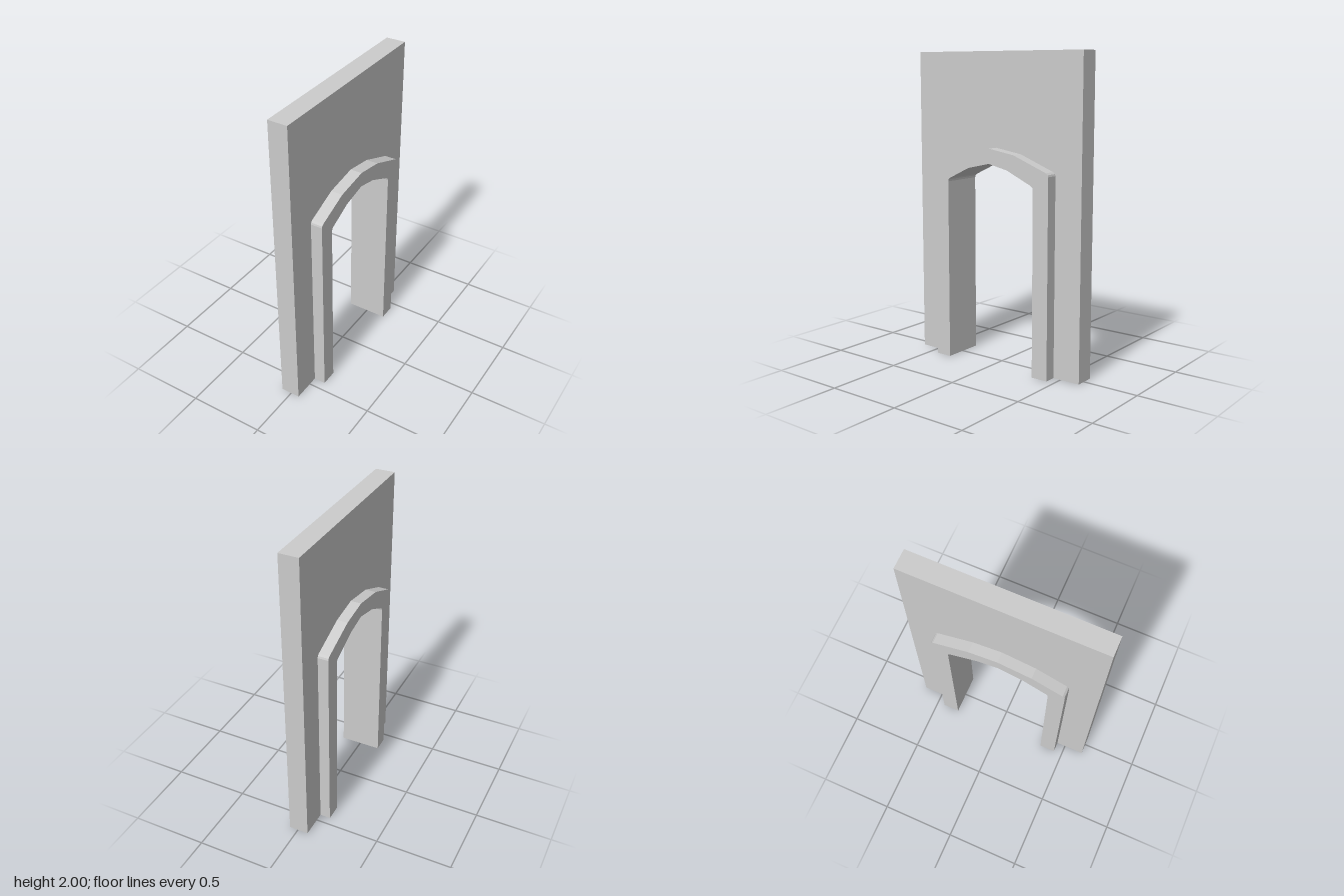
import * as THREE from 'three';

// Arch outlines as [z, y], running from the front foot over the crown to the back foot
const OUTER = [[0.44, 0], [0.44, 1.26], [0.437, 1.272], [0.425, 1.283], [0.22, 1.37], [0, 1.405],
  [-0.19, 1.375], [-0.43, 1.283], [-0.443, 1.272], [-0.447, 1.26], [-0.447, 0]];
const INNER = [[0.333, 0], [0.333, 1.175], [0.33, 1.188], [0.32, 1.198], [0.165, 1.273], [0, 1.31],
  [-0.14, 1.279], [-0.32, 1.198], [-0.332, 1.188], [-0.336, 1.175], [-0.336, 0]];

export function createModel() {
  const group = new THREE.Group();
  const material = new THREE.MeshStandardMaterial({ color: 0xcccccc });

  // Extrudes a [z, y] outline across the thickness from x0 to x1
  const slab = (name, outline, x0, x1) => {
    const shape = new THREE.Shape(outline.map(([z, y]) => new THREE.Vector2(z, y)));
    const geometry = new THREE.ExtrudeGeometry(shape, { depth: x1 - x0, bevelEnabled: false });
    geometry.rotateY(-Math.PI / 2).translate(x1, 0, 0);
    const mesh = new THREE.Mesh(geometry, material);
    mesh.name = name;
    group.add(mesh);
  };

  // Wall panel with the doorway left open
  slab('wall', [[0.632, 0], [0.632, 2], [-0.632, 2], [-0.632, 0], ...[...OUTER].reverse()], -0.07, 0.058);

  // Arched surround standing proud of both wall faces
  slab('archFrame', [...OUTER, ...[...INNER].reverse()], -0.139, 0.135);

  return group;
}
